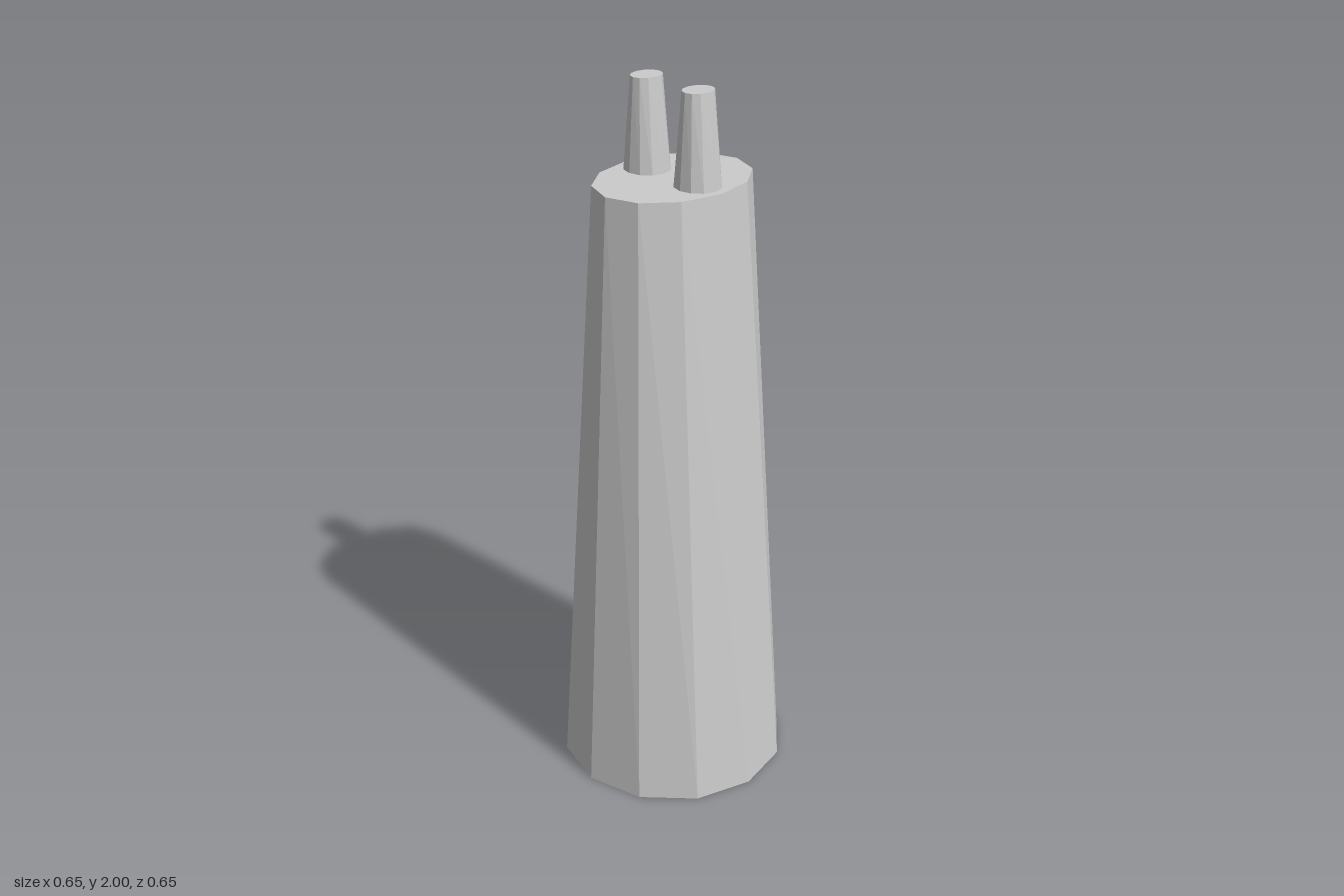
import * as THREE from 'three';

const material = new THREE.MeshStandardMaterial({
  color: 0xcccccc, flatShading: true, side: THREE.DoubleSide,
});

// Twelve-sided tapered shell, capped on top and open below, with its own x and z radius at each end
function taperedShell(name, [bottomX, bottomZ], [topX, topZ], height) {
  const profile = [[1, 0], [1, height], [0, height]].map(([r, y]) => new THREE.Vector2(r, y));
  const geometry = new THREE.LatheGeometry(profile, 12);
  const p = geometry.attributes.position;
  for (let i = 0; i < p.count; i++) {
    const t = p.getY(i) / height;
    p.setX(i, p.getX(i) * THREE.MathUtils.lerp(bottomX, topX, t));
    p.setZ(i, p.getZ(i) * THREE.MathUtils.lerp(bottomZ, topZ, t));
  }
  geometry.computeVertexNormals();
  const mesh = new THREE.Mesh(geometry, material);
  mesh.name = name;
  return mesh;
}

export function createModel() {
  const model = new THREE.Group();
  model.name = 'chimney';

  // Tall stack: round at the foot, oval at the top
  const stackHeight = 1.75;
  model.add(taperedShell('stack', [0.323, 0.323], [0.18, 0.231], stackHeight));

  // Pair of pots standing on the stack
  for (const [name, x] of [['rightPot', -0.1], ['leftPot', 0.093]]) {
    const pot = taperedShell(name, [0.065, 0.062], [0.0375, 0.046], 2 - stackHeight);
    pot.position.set(x, stackHeight, 0);
    model.add(pot);
  }
  return model;
}
